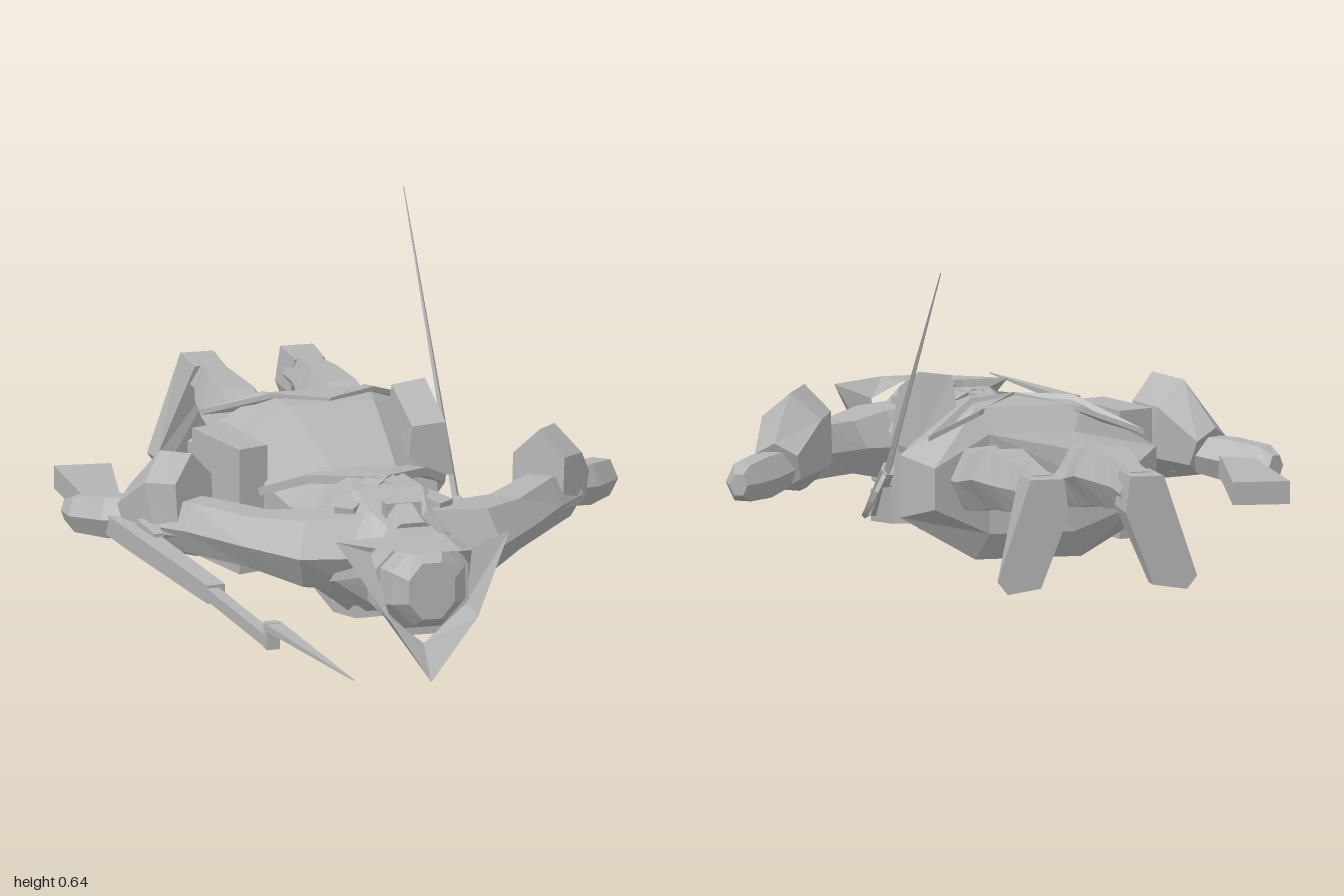
import * as THREE from 'three';

const V = (x, y, z) => new THREE.Vector3(x, y, z);
const grey = new THREE.MeshStandardMaterial({ color: 0xb4b4b4, flatShading: true, side: THREE.DoubleSide });
grey.name = 'plain grey';

// Skin a list of equal-length rings, turned so that faces point outward
function skin(name, rings, capped = true) {
  const tris = [];
  const n = rings[0].length;
  for (let i = 0; i + 1 < rings.length; i++) {
    for (let j = 0; j < n; j++) {
      const k = (j + 1) % n;
      const [a, b, c, d] = [rings[i][j], rings[i][k], rings[i + 1][k], rings[i + 1][j]];
      tris.push([a, b, c], [a, c, d]);
    }
  }
  if (capped) {
    const first = rings[0], last = rings[rings.length - 1];
    for (let j = 1; j + 1 < n; j++) {
      tris.push([first[0], first[j + 1], first[j]], [last[0], last[j], last[j + 1]]);
    }
  }
  const mid = rings.flat().reduce((s, p) => s.add(p), V(0, 0, 0)).divideScalar(n * rings.length);
  let volume = 0;
  for (const [a, b, c] of tris) {
    volume += a.clone().sub(mid).dot(b.clone().sub(mid).cross(c.clone().sub(mid)));
  }
  const pts = tris.flatMap(([a, b, c]) => (volume < 0 ? [a, c, b] : [a, b, c]));
  const geo = new THREE.BufferGeometry().setFromPoints(pts);
  geo.computeVertexNormals();
  const mesh = new THREE.Mesh(geo, grey);
  mesh.name = name;
  return mesh;
}

// Loft along sections [x, y, z, halfWidth, halfHeight]; cornerUp puts a corner at the top
function loft(name, secs, n = 6, cornerUp = false) {
  const at = (i) => V(...secs[Math.max(0, Math.min(secs.length - 1, i))].slice(0, 3));
  const start = cornerUp ? Math.PI / 2 : Math.PI / 2 + Math.PI / n;
  const grow = cornerUp ? 1 : 1 / Math.cos(Math.PI / n);
  const rings = secs.map(([x, y, z, w, h], i) => {
    const along = at(i + 1).sub(at(i - 1)).normalize();
    const side = V(0, 1, 0).cross(along).normalize();
    const up = along.clone().cross(side);
    return Array.from({ length: n }, (_, j) => {
      const a = start + (j / n) * Math.PI * 2;
      return V(x, y, z).addScaledVector(side, Math.cos(a) * w * grow).addScaledVector(up, Math.sin(a) * h * grow);
    });
  });
  return skin(name, rings);
}

// Box from two matching four-corner faces
const block = (name, a, b) => skin(name, [a.map((p) => V(...p)), b.map((p) => V(...p))]);

export function createModel() {
  const model = new THREE.Group();
  model.name = 'lyingSoldier';
  const add = (...parts) => model.add(...parts);

  // Coat: shoulders, waist and flared skirt
  const coat = loft('coat', [
    [0, 0.18, 0.21, 0.06, 0.06], [0, 0.18, 0.18, 0.13, 0.09], [0, 0.17, 0.1, 0.16, 0.122],
    [0, 0.165, 0, 0.13, 0.125], [0, 0.163, -0.1, 0.145, 0.12], [0, 0.175, -0.22, 0.17, 0.135],
    [0, 0.19, -0.36, 0.2, 0.15], [0, 0.188, -0.47, 0.25, 0.145], [0, 0.19, -0.54, 0.2, 0.095],
  ], 8);
  const p = coat.geometry.attributes.position;
  for (let i = 0; i < p.count; i++) {
    if (p.getZ(i) < -0.5) p.setZ(i, p.getZ(i) + 0.07 * Math.max(0, 1 - Math.abs(p.getX(i)) / 0.2));
  }
  coat.geometry.computeVertexNormals();
  add(coat);

  for (const s of [-1, 1]) {
    // Sleeve, peaked cuff and hand
    add(loft('sleeve', [
      [s * 0.06, 0.19, 0.13, 0.07, 0.075], [s * 0.16, 0.19, 0.11, 0.075, 0.065],
      [s * 0.24, 0.195, 0.04, 0.055, 0.05], [s * 0.33, 0.2, -0.06, 0.045, 0.05],
      [s * 0.39, 0.195, -0.14, 0.045, 0.045],
    ]));
    add(loft('cuff', [
      [s * 0.335, 0.235, -0.08, 0.06, 0.1], [s * 0.37, 0.23, -0.13, 0.07, 0.1],
      [s * 0.42, 0.195, -0.2, 0.05, 0.05],
    ], 6, true));
    add(loft('hand', [
      [s * 0.41, 0.19, -0.19, 0.03, 0.035], [s * 0.46, 0.182, -0.23, 0.035, 0.04],
      [s * 0.51, 0.178, -0.28, 0.03, 0.035], [s * 0.525, 0.178, -0.31, 0.015, 0.02],
    ]));

    // Leg and splayed shoe
    add(loft('leg', [
      [s * 0.1, 0.2, -0.4, 0.075, 0.07], [s * 0.105, 0.205, -0.56, 0.05, 0.055],
      [s * 0.1, 0.228, -0.69, 0.058, 0.056], [s * 0.1, 0.23, -0.8, 0.045, 0.05],
      [s * 0.095, 0.232, -0.88, 0.033, 0.042], [s * 0.095, 0.228, -0.95, 0.033, 0.042],
    ]));
    const outline = [[0.065, 0.268], [0.13, 0.268], [0.195, 0.075], [0.175, 0.05], [0.11, 0.06], [0.055, 0.2]];
    add(skin('shoe', [
      outline.map(([x, y]) => V(s * x, y, -1)),
      outline.map(([x, y]) => V(s * (0.1 + (x - 0.1) * 0.9), y, y > 0.15 ? -0.9 : -0.965)),
    ]));

    // Turned-back coat tail
    add(block('turnback',
      [[0, 0.345, -0.36], [s * 0.1, 0.345, -0.42], [s * 0.21, 0.29, -0.53], [s * 0.1, 0.33, -0.49]],
      [[0, 0.335, -0.36], [s * 0.1, 0.335, -0.42], [s * 0.21, 0.28, -0.53], [s * 0.1, 0.32, -0.49]]));

    // Crossed shoulder belt on the back
    add(loft('crossBelt', [
      [s * 0.1, 0.265, 0.14, 0.02, 0.008], [0, 0.292, 0.02, 0.02, 0.008],
      [-s * 0.1, 0.27, -0.09, 0.02, 0.008], [-s * 0.165, 0.22, -0.2, 0.02, 0.008],
    ], 4));
    // Lapel on the chest
    add(loft('lapel', [
      [s * 0.05, 0.07, 0.15, 0.03, 0.012], [s * 0.06, 0.045, 0.02, 0.03, 0.01],
      [s * 0.06, 0.045, -0.14, 0.025, 0.01],
    ], 4));
  }

  // Neck, head, nose and tied hair
  add(loft('collar', [[0, 0.19, 0.17, 0.065, 0.075], [0, 0.185, 0.22, 0.05, 0.06]], 8));
  add(loft('head', [
    [0, 0.175, 0.2, 0.045, 0.06], [0, 0.165, 0.23, 0.065, 0.08],
    [0, 0.17, 0.28, 0.09, 0.095], [0, 0.17, 0.35, 0.09, 0.095],
  ], 8));
  add(loft('nose', [[0, 0.075, 0.255, 0.018, 0.022], [0, 0.078, 0.31, 0.01, 0.012]], 4, true));
  add(loft('hairTail', [
    [0, 0.25, 0.27, 0.04, 0.025], [0, 0.27, 0.21, 0.028, 0.022], [0, 0.29, 0.15, 0.012, 0.012],
  ]));
  add(loft('hairRibbon', [[-0.035, 0.28, 0.19, 0.016, 0.014], [0.035, 0.28, 0.19, 0.016, 0.014]], 4));

  // Three-cornered hat: crown and upturned brim
  add(loft('hatCrown', [
    [0, 0.175, 0.33, 0.09, 0.09], [0, 0.18, 0.39, 0.07, 0.075], [0, 0.18, 0.425, 0.045, 0.055],
  ], 8));
  const around = (half) => [
    ...half.map(([x, y, z]) => V(x, y, z)),
    ...half.slice(1).reverse().map(([x, y, z]) => V(-x, y, z)),
  ];
  add(skin('hatBrim', [
    around([[0, 0.06, 0.36], [0.085, 0.13, 0.35], [0.1, 0.24, 0.34], [0.04, 0.27, 0.34]]),
    around([[0, 0, 0.42], [0.085, 0.13, 0.445], [0.17, 0.268, 0.352], [0.05, 0.265, 0.455]]),
  ], false));

  // Musket with socket bayonet
  add(loft('musketStock', [
    [-0.43, 0.165, -0.57, 0.055, 0.022], [-0.455, 0.17, -0.3, 0.032, 0.022],
    [-0.455, 0.172, -0.18, 0.018, 0.02], [-0.44, 0.17, -0.1, 0.022, 0.02],
    [-0.385, 0.162, 0.28, 0.018, 0.018],
  ], 4));
  add(loft('musketBarrel', [[-0.43, 0.17, -0.1, 0.012, 0.012], [-0.358, 0.155, 0.61, 0.012, 0.012]], 4));
  add(loft('musketLock', [[-0.425, 0.19, -0.12, 0.014, 0.014], [-0.415, 0.185, -0.04, 0.01, 0.01]], 4));
  add(loft('bayonetSocket', [[-0.36, 0.168, 0.595, 0.013, 0.026], [-0.358, 0.168, 0.615, 0.013, 0.026]], 4));
  add(loft('bayonet', [[-0.358, 0.186, 0.6, 0.017, 0.007], [-0.3, 0.184, 1, 0.001, 0.001]], 4));

  // Sword: blade, grip and knuckle guard
  add(loft('swordBlade', [[0.2, 0.17, -0.17, 0.007, 0.015], [0.245, 0.635, -0.76, 0.001, 0.001]], 4, true));
  add(loft('swordGrip', [[0.2, 0.09, -0.07, 0.015, 0.018], [0.2, 0.18, -0.18, 0.012, 0.014]], 6));
  const guardPath = new THREE.CatmullRomCurve3([
    V(0.2, 0.09, -0.07), V(0.225, 0.08, -0.1), V(0.225, 0.13, -0.18), V(0.2, 0.18, -0.18),
  ]);
  const guard = new THREE.Mesh(new THREE.TubeGeometry(guardPath, 8, 0.006, 4), grey);
  guard.name = 'swordGuard';
  add(guard);

  // Tall cartridge pouch on the right hip
  const pouch = [[-0.27, -0.36], [-0.2, -0.385], [-0.16, -0.21], [-0.22, -0.19]];
  add(block('pouch', pouch.map(([x, z]) => [x, 0.06, z]), pouch.map(([x, z]) => [x, 0.305, z])));
  // Tilted haversack on the left side of the back
  add(block('haversack',
    [[0.105, 0.24, -0.18], [0.195, 0.23, -0.18], [0.195, 0.24, -0.36], [0.105, 0.25, -0.36]],
    [[0.115, 0.33, -0.18], [0.18, 0.335, -0.18], [0.175, 0.384, -0.32], [0.11, 0.375, -0.32]]));
  // Flat scabbard holder below the left hip
  add(loft('scabbardHolder', [[0.17, 0.09, -0.03, 0.025, 0.03], [0.185, 0.12, -0.25, 0.025, 0.035]], 4));

  return model;
}
